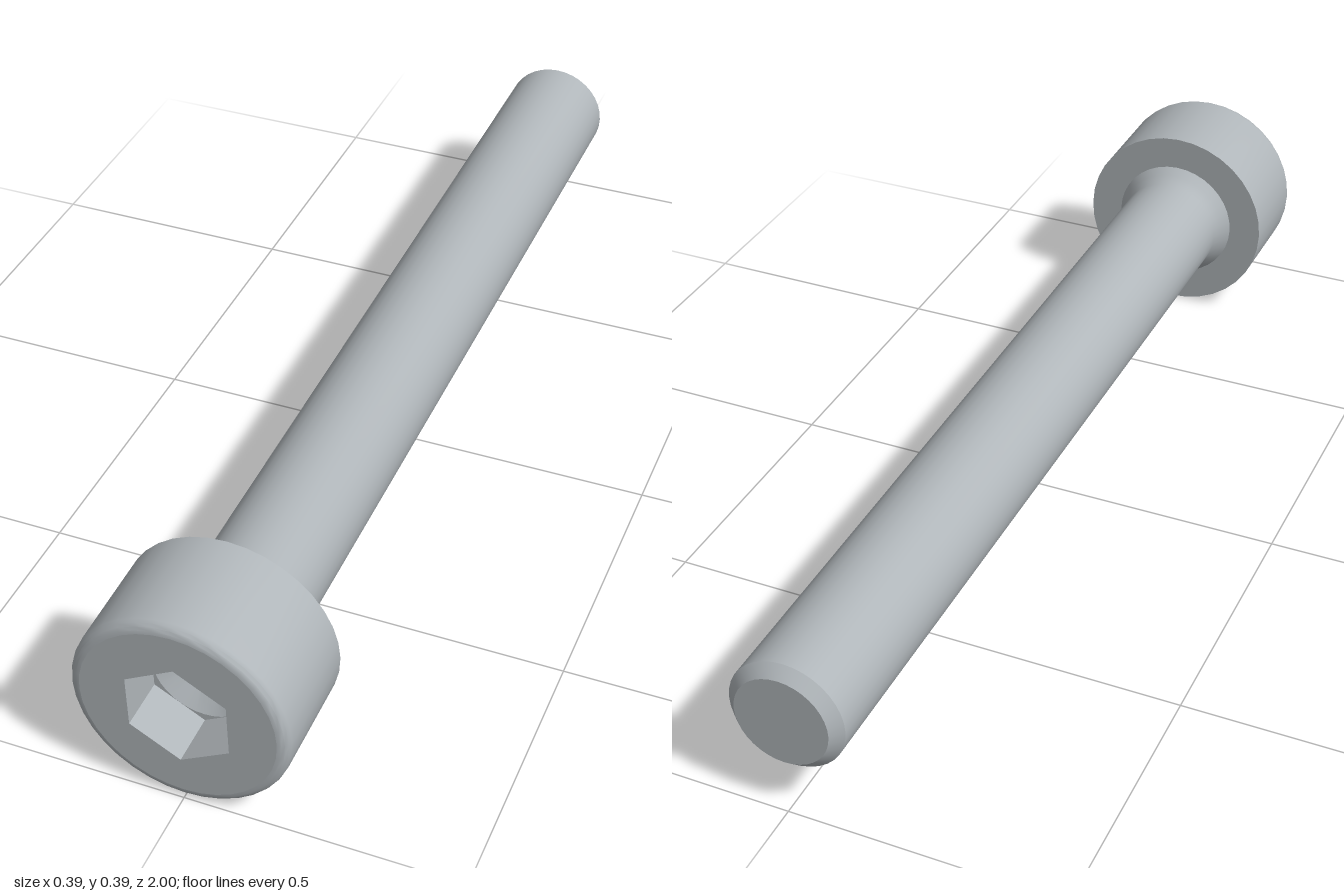
import * as THREE from 'three';
import { toCreasedNormals } from 'three/addons/utils/BufferGeometryUtils.js';

const SIDES = 36;
const HEAD_R = 0.196, SHANK_R = 0.106, HEAD_BACK = 0.786;
const ROUND = 0.021;                     // rounding of the head's front rim
const HEX_R = 0.103, CONE_R = 0.089;     // socket corner and drill radii
const FLOOR_Z = 0.907, APEX_Z = 0.856;

export function createModel() {
  const steel = new THREE.MeshStandardMaterial({ color: 0xb0b6ba });
  steel.name = 'steel';

  const screw = new THREE.Group();
  screw.name = 'socketHeadScrew';
  const add = (name, geometry) => {
    const mesh = new THREE.Mesh(geometry, steel);
    mesh.name = name;
    screw.add(mesh);
  };

  // Revolve [radius, z] pairs about the z axis
  const revolve = (profile, sides = SIDES) => {
    const g = new THREE.LatheGeometry(profile.map(([r, z]) => new THREE.Vector2(r, z)), sides);
    g.rotateX(Math.PI / 2);
    return toCreasedNormals(g, Math.PI / 6);
  };

  // Regular polygon with its first corner at the bottom
  const polygon = (r, sides) => Array.from({ length: sides }, (_, i) => {
    const a = (i / sides) * Math.PI * 2;
    return new THREE.Vector2(r * Math.sin(a), -r * Math.cos(a));
  });

  // Flat plate facing +z with a hole in it
  const ring = (outer, inner, z) => {
    const shape = new THREE.Shape(outer);
    shape.holes.push(new THREE.Path(inner));
    return new THREE.ShapeGeometry(shape).translate(0, 0, z);
  };

  // Shank with chamfered tip and a flared fillet under the head
  add('shank', revolve([
    [0, -1], [0.086, -1], [SHANK_R, -0.98], [SHANK_R, 0.744],
    [0.109, 0.755], [0.116, 0.769], [0.128, HEAD_BACK],
  ]));

  // Head: flat underside, straight wall and rounded front rim
  const head = [[0.128, HEAD_BACK], [HEAD_R, HEAD_BACK]];
  for (let i = 0; i <= 5; i++) {
    const a = (i / 5) * Math.PI / 2;
    head.push([HEAD_R - ROUND + ROUND * Math.cos(a), 1 - ROUND + ROUND * Math.sin(a)]);
  }
  add('head', revolve(head));
  add('headFace', ring(polygon(HEAD_R - ROUND, SIDES), polygon(HEX_R, 6), 1));

  // Hexagonal socket ending in a conical drill point
  add('socketWalls', revolve([[HEX_R, 1], [HEX_R, FLOOR_Z]], 6));
  add('socketFloor', ring(polygon(HEX_R, 6), polygon(CONE_R, SIDES), FLOOR_Z));
  add('socketCone', revolve([[CONE_R, FLOOR_Z], [CONE_R / 2, (FLOOR_Z + APEX_Z) / 2], [0, APEX_Z]]));

  screw.position.y = HEAD_R;
  return screw;
}
